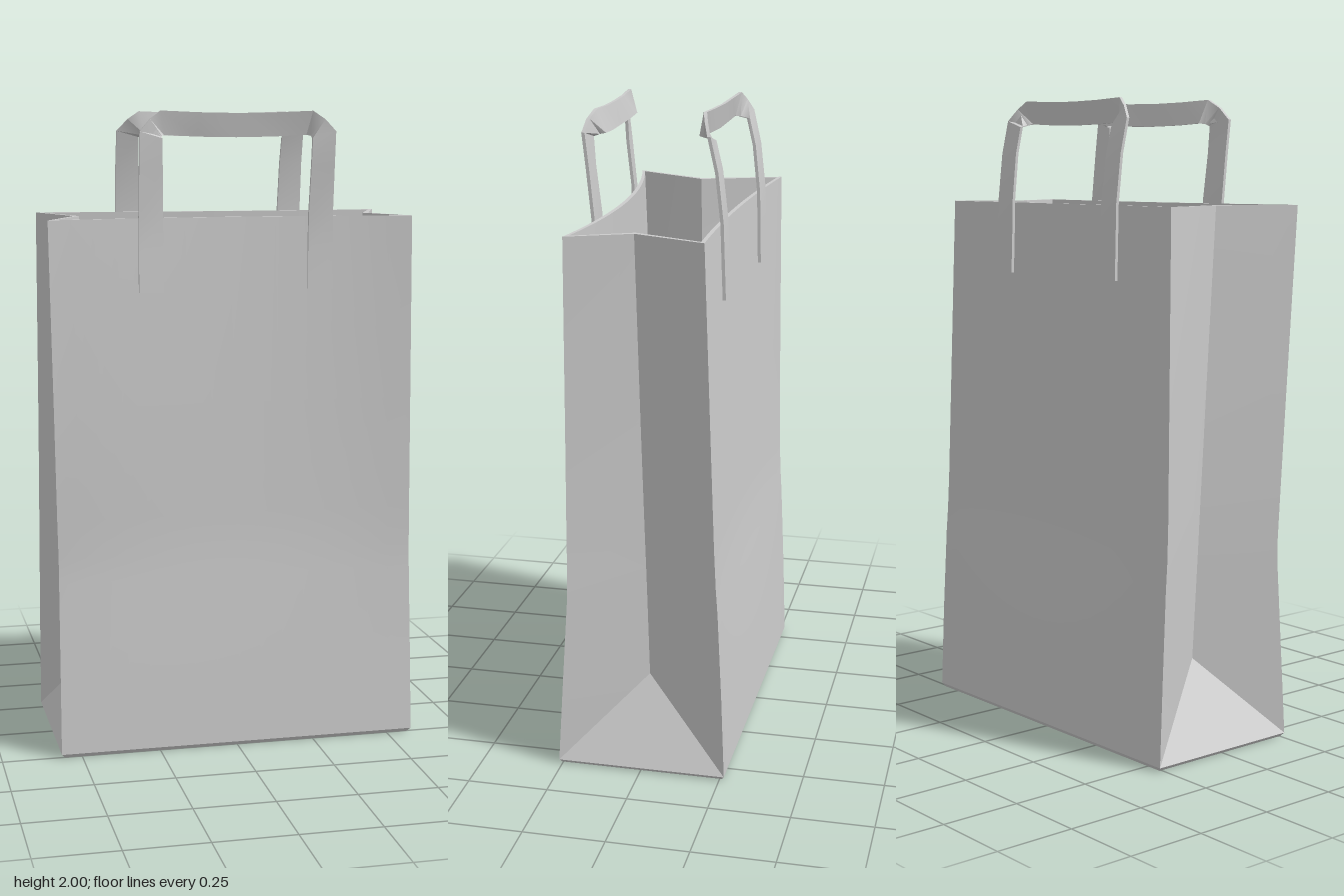
import * as THREE from 'three';
import { toCreasedNormals } from 'three/addons/utils/BufferGeometryUtils.js';

const COLUMNS = 16;   // strips across the front and back panels
const PAPER = 0.013;  // wall thickness
const RIM = 1.675;

// Shape of the bag by height. Corners are [x, z]; frontMid / backMid are the
// panel's z at its centre; gusset is [right x, left x, z, half width of its flat part].
const LEVELS = [
  { y: 0.012, fl: [-0.565, 0.26], frontMid: 0.26, fr: [0.58, 0.26], br: [0.58, -0.265], backMid: -0.265, bl: [-0.565, -0.265], gusset: [0.58, -0.565, -0.0025, 0.2625] },
  { y: 0.27, fl: [-0.563, 0.243], frontMid: 0.241, fr: [0.578, 0.244], br: [0.578, -0.255], backMid: -0.25, bl: [-0.565, -0.256], gusset: [0.44, -0.415, 0, 0] },
  { y: 0.55, fl: [-0.561, 0.224], frontMid: 0.221, fr: [0.575, 0.226], br: [0.575, -0.241], backMid: -0.234, bl: [-0.564, -0.244], gusset: [0.448, -0.427, 0.006, 0] },
  { y: 0.63, fl: [-0.561, 0.222], frontMid: 0.213, fr: [0.574, 0.224], br: [0.574, -0.235], backMid: -0.226, bl: [-0.564, -0.239], gusset: [0.45, -0.43, 0.008, 0] },
  { y: 0.75, fl: [-0.564, 0.226], frontMid: 0.209, fr: [0.573, 0.224], br: [0.573, -0.229], backMid: -0.221, bl: [-0.563, -0.235], gusset: [0.454, -0.434, 0.011, 0] },
  { y: 1.1, fl: [-0.571, 0.241], frontMid: 0.2, fr: [0.571, 0.222], br: [0.571, -0.216], backMid: -0.209, bl: [-0.561, -0.231], gusset: [0.464, -0.448, 0.019, 0] },
  { y: RIM, fl: [-0.584, 0.266], frontMid: 0.185, fr: [0.567, 0.22], br: [0.567, -0.195], backMid: -0.19, bl: [-0.559, -0.226], gusset: [0.482, -0.474, 0.03, 0] },
];

const mix = (a, b, t) => Array.isArray(a) ? a.map((v, i) => mix(v, b[i], t)) : a + (b - a) * t;

function levelAt(y) {
  let i = 0;
  while (i < LEVELS.length - 2 && y > LEVELS[i + 1].y) i++;
  const a = LEVELS[i], b = LEVELS[i + 1];
  const t = THREE.MathUtils.clamp((y - a.y) / (b.y - a.y), 0, 1);
  const out = {};
  for (const key in a) out[key] = mix(a[key], b[key], t);
  return out;
}

// z of a panel bowed between its two corners, u from 0 to 1
function bow(za, mid, zb, u) {
  return mix(za, zb, u) + (mid - (za + zb) / 2) * 4 * u * (1 - u);
}

// One closed cross-section of the bag, shrunk by inset
function section(y, inset) {
  const s = levelAt(y), ring = [], dx = inset * 1.35;
  const [gr, gl, gz, half] = s.gusset;
  const flat = Math.max(0, half - inset);
  const panel = (a, mid, b, dz) => {
    const side = Math.sign(b[0] - a[0]);
    for (let i = 0; i <= COLUMNS; i++) {
      const u = i / COLUMNS;
      ring.push([mix(a[0] + side * dx, b[0] - side * dx, u), y, bow(a[1], mid, b[1], u) + dz]);
    }
  };
  panel(s.fl, s.frontMid, s.fr, -inset);
  ring.push([gr - dx, y, gz + flat], [gr - dx, y, gz - flat]);
  panel(s.br, s.backMid, s.bl, inset);
  ring.push([gl + dx, y, gz - flat], [gl + dx, y, gz + flat]);
  return ring;
}

// Skin over a list of closed rings, with a cap at both ends
function loft(rings, crease) {
  const n = rings[0].length, positions = rings.flat(2), index = [];
  for (let r = 0; r < rings.length - 1; r++) {
    for (let j = 0; j < n; j++) {
      const a = r * n + j, b = r * n + (j + 1) % n;
      index.push(a, b, b + n, a, b + n, a + n);
    }
  }
  [0, rings.length - 1].forEach((r, end) => {
    const centre = positions.length / 3;
    for (let k = 0; k < 3; k++) positions.push(rings[r].reduce((sum, p) => sum + p[k], 0) / n);
    for (let j = 0; j < n; j++) {
      const a = r * n + j, b = r * n + (j + 1) % n;
      if (end) index.push(a, b, centre); else index.push(b, a, centre);
    }
  });
  const geometry = new THREE.BufferGeometry();
  geometry.setAttribute('position', new THREE.Float32BufferAttribute(positions, 3));
  geometry.setIndex(index);
  return toCreasedNormals(geometry, crease);
}

// z of the outside of the front or back panel at a point
function wallZ(x, y, front) {
  const s = levelAt(Math.min(y, RIM));
  const [a, mid, b] = front ? [s.fl, s.frontMid, s.fr] : [s.bl, s.backMid, s.br];
  return bow(a[1], mid, b[1], (x - a[0]) / (b[0] - a[0]));
}

// Paper strap: up one side, folded over at the corner, then across
function handleGeometry(front) {
  // outer edge x, y; inner edge x, y; z offsets of both edges from the panel
  const half = front ? [
    [-0.308, 1.45, -0.23, 1.45, 0.007, 0.007],
    [-0.308, 1.56, -0.23, 1.56, 0.007, 0.007],
    [-0.308, 1.68, -0.232, 1.68, 0.008, 0.008],
    [-0.308, 1.83, -0.235, 1.83, 0.023, 0.025],
    [-0.308, 1.935, -0.237, 1.915, 0.035, 0.03],
    [-0.275, 1.972, -0.235, 1.922, 0.03, 0.012],
    [-0.24, 1.997, -0.225, 1.924, 0.018, -0.004],
    [-0.12, 1.992, -0.12, 1.919, 0.022, 0.004],
  ] : [
    [-0.308, 1.45, -0.23, 1.45, -0.007, -0.007],
    [-0.308, 1.56, -0.23, 1.56, -0.007, -0.007],
    [-0.308, 1.68, -0.232, 1.68, -0.007, -0.007],
    [-0.308, 1.83, -0.235, 1.83, 0.01, 0.01],
    [-0.308, 1.935, -0.237, 1.915, 0.034, 0.03],
    [-0.275, 1.972, -0.235, 1.922, 0.048, 0.06],
    [-0.24, 1.997, -0.225, 1.924, 0.058, 0.074],
    [-0.12, 1.992, -0.12, 1.919, 0.058, 0.072],
  ];
  const middle = front ? [0, 1.99, 0, 1.917, 0.025, 0.01] : [0, 1.99, 0, 1.917, 0.056, 0.068];
  const mirrored = half.map(([ox, oy, ix, iy, oz, iz]) => [-ox, oy, -ix, iy, oz, iz]).reverse();
  const thick = 0.005;
  const rings = [...half, middle, ...mirrored].map(([ox, oy, ix, iy, oz, iz]) => {
    const lean = 0.006; // the whole strap sits slightly towards the left side
    const zo = wallZ(ox + lean, oy, front) + oz, zi = wallZ(ix + lean, iy, front) + iz;
    return [
      [ox + lean, oy, zo + thick], [ix + lean, iy, zi + thick],
      [ix + lean, iy, zi - thick], [ox + lean, oy, zo - thick],
    ];
  });
  return loft(rings, 0.7);
}

export function createModel() {
  const group = new THREE.Group();
  const material = new THREE.MeshStandardMaterial({ color: 0xcccccc, side: THREE.DoubleSide });
  const add = (name, geometry) => {
    const mesh = new THREE.Mesh(geometry, material);
    mesh.name = name;
    group.add(mesh);
  };

  // Bag: outside from the base to the rim, then inside back down to the floor
  const heights = LEVELS.map((l) => l.y);
  const bottom = section(0.012, 0.008).map(([x, , z]) => [x, 0, z]);
  const outside = heights.map((y) => section(y, 0));
  const inside = [...heights.slice(1).reverse(), 0.025].map((y) => section(y, PAPER));
  add('bag', loft([bottom, ...outside, ...inside], 0.35));

  // Handles
  add('frontHandle', handleGeometry(true));
  add('backHandle', handleGeometry(false));
  return group;
}
